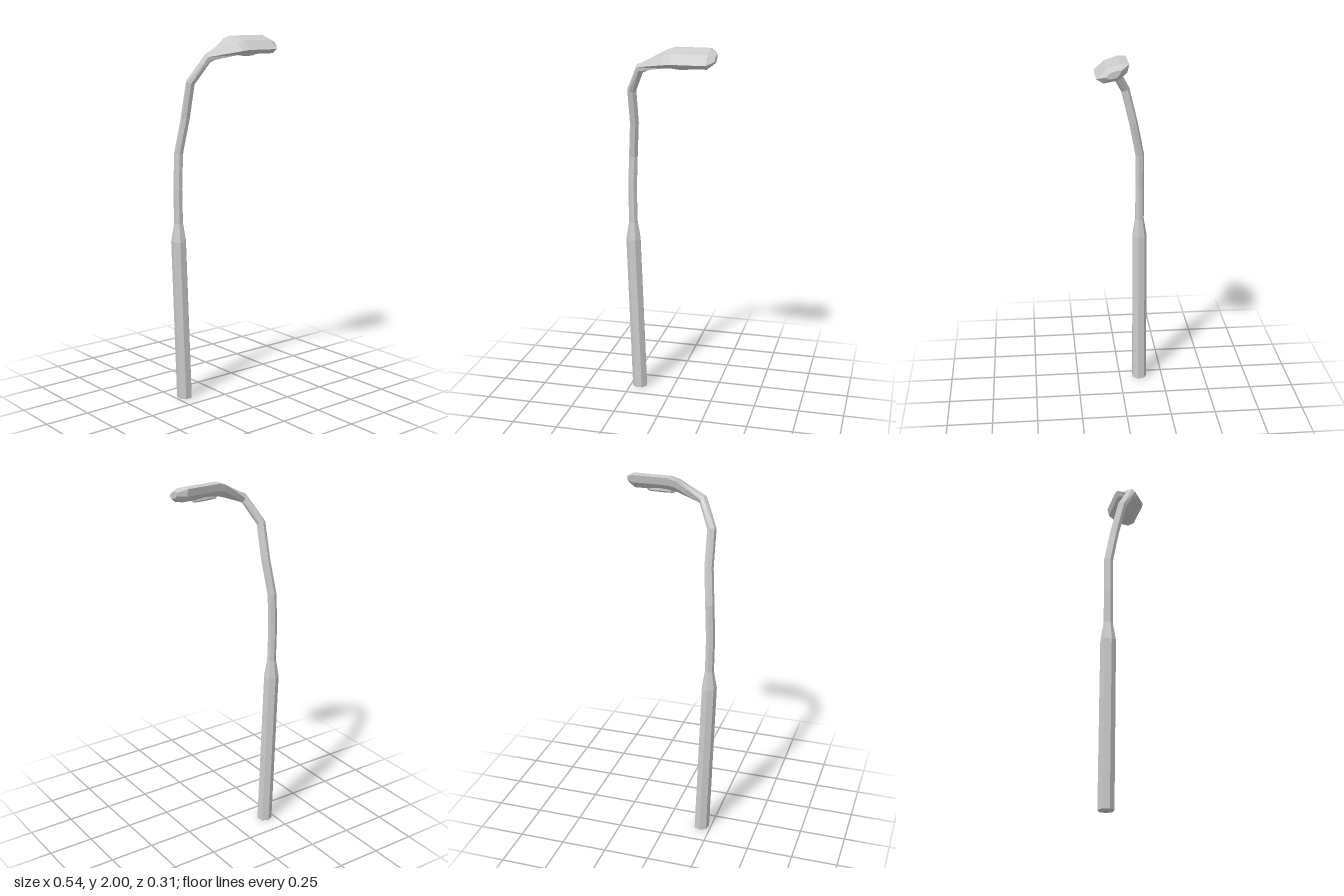
import * as THREE from 'three';

const SIDES = 7;
const V = (x, y, z) => new THREE.Vector3(x, y, z);
const material = new THREE.MeshStandardMaterial({ color: 0xcccccc, flatShading: true });

// Seven-sided ring around a path point, first corner towards the back
function ring(centre, tangent, radius) {
  const t = tangent.clone().normalize();
  const u = V(0, 0, -1).projectOnPlane(t).normalize();
  const v = t.clone().cross(u);
  return Array.from({ length: SIDES }, (_, k) => {
    const a = (k / SIDES) * Math.PI * 2;
    return centre.clone().addScaledVector(u, Math.cos(a) * radius).addScaledVector(v, Math.sin(a) * radius);
  });
}

// Skin a list of rings, closing both ends with fans
function loft(rings, name) {
  const points = [];
  for (let i = 0; i < rings.length - 1; i++) {
    for (let k = 0; k < SIDES; k++) {
      const n = (k + 1) % SIDES;
      const [a, b, c, d] = [rings[i][k], rings[i][n], rings[i + 1][n], rings[i + 1][k]];
      points.push(a, b, c, a, c, d);
    }
  }
  const first = rings[0], last = rings[rings.length - 1];
  for (let k = 1; k < SIDES - 1; k++) {
    points.push(first[0], first[k + 1], first[k], last[0], last[k], last[k + 1]);
  }
  const geometry = new THREE.BufferGeometry().setFromPoints(points);
  geometry.computeVertexNormals();
  const mesh = new THREE.Mesh(geometry, material);
  mesh.name = name;
  return mesh;
}

export function createModel() {
  const group = new THREE.Group();
  group.name = 'bentStreetLamp';

  // Bent pole: centre line and radius
  const path = [
    [-0.197, 0, -0.115, 0.043],
    [-0.228, 0.9, -0.115, 0.042],
    [-0.228, 1.0, -0.115, 0.025],
    [-0.231, 1.19, -0.115, 0.025],
    [-0.224, 1.38, -0.114, 0.025],
    [-0.206, 1.57, -0.076, 0.025],
    [-0.206, 1.76, -0.03, 0.025],
    [-0.142, 1.888, 0.036, 0.026],
  ];
  const centres = path.map(([x, y, z]) => V(x, y, z));
  const rings = path.map((p, i) => {
    let tangent = V(0, 1, 0);
    if (i > 2 && i < path.length - 1) {
      const before = centres[i].clone().sub(centres[i - 1]).normalize();
      const after = centres[i + 1].clone().sub(centres[i]).normalize();
      tangent = before.add(after);
    } else if (i === path.length - 1) {
      tangent = V(0.8, 0.42, 0.4);
    }
    return ring(centres[i], tangent, p[3]);
  });
  group.add(loft(rings, 'pole'));

  // Lamp head: flattened, rolled cross-section as [z, y] from the back edge over the top
  const section = [
    [-0.01, 1.998], [0.033, 2.0], [0.104, 1.976], [0.154, 1.928],
    [0.12, 1.905], [0.045, 1.918], [0.0, 1.957],
  ];
  const cz = 0.07, cy = 1.957;
  const slice = (x, sz, sy, dz = 0, dy = 0) =>
    section.map(([z, y]) => V(x, cy + (y - cy) * sy + dy, cz + (z - cz) * sz + dz));
  group.add(loft([
    rings[rings.length - 1],
    slice(0, 0.95, 0.9, -0.003, -0.008),
    slice(0.04, 1, 1),
    slice(0.23, 1, 1),
    slice(0.268, 0.45, 0.45),
  ], 'lampHead'));

  // Faceted lens under the head
  const lens = new THREE.Mesh(new THREE.CylinderGeometry(1, 0.75, 0.03, 8), material);
  lens.name = 'lens';
  lens.scale.set(0.095, 1, 0.038);
  lens.rotation.x = 0.42;
  lens.position.set(0.09, 1.918, 0.063);
  group.add(lens);

  return group;
}
